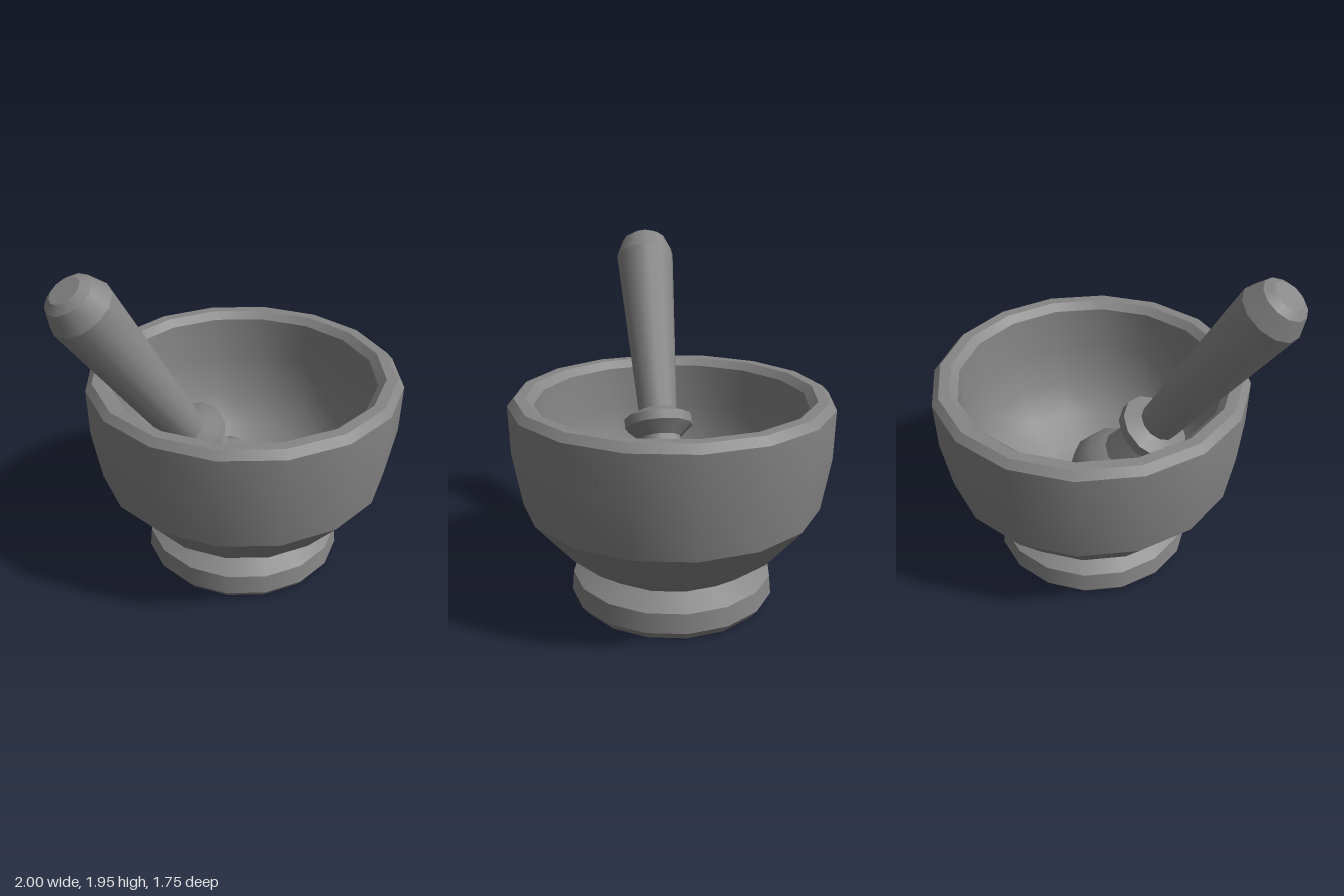
import * as THREE from 'three';
import { mergeGeometries } from 'three/addons/utils/BufferGeometryUtils.js';

const material = new THREE.MeshStandardMaterial({ color: 0x868686 });

// Turned solid from runs of [radius, height] pairs, outside bottom upwards:
// smooth within a run, with a sharp edge where one run meets the next
function turned(name, sides, runs) {
  const geometries = runs.map((run) =>
    new THREE.LatheGeometry(run.map(([r, y]) => new THREE.Vector2(r, y)), sides));
  const mesh = new THREE.Mesh(mergeGeometries(geometries), material);
  mesh.name = name;
  return mesh;
}

export function createModel() {
  const model = new THREE.Group();
  model.name = 'mortarAndPestle';

  // Mortar: foot, flared bowl, bevelled rim and hollow inside
  const mortar = turned('mortar', 16, [
    [[0, 0], [0.53, 0]],
    [[0.53, 0], [0.57, 0.05]],
    [[0.57, 0.05], [0.56, 0.16]],
    [[0.56, 0.16], [0.45, 0.23]],
    [[0.45, 0.23], [0.61, 0.34], [0.82, 0.59]],
    [[0.82, 0.59], [0.87, 0.88], [0.877, 1.15]],
    [[0.877, 1.15], [0.84, 1.19]],
    [[0.84, 1.19], [0.78, 1.19]],
    [[0.78, 1.19], [0.738, 1.15]],
    [[0.738, 1.15], [0.73, 0.9], [0.69, 0.66], [0.58, 0.48],
      [0.42, 0.36], [0.22, 0.285], [0, 0.26]],
  ]);
  mortar.position.x = 0.123;
  model.add(mortar);

  // Pestle: origin at the widest part of the grip, leaning towards -x
  const pestle = new THREE.Group();
  pestle.name = 'pestle';
  pestle.position.set(-0.835, 1.795, 0.022);
  pestle.rotation.z = 0.58;

  // Grinding head with a slightly flared neck
  pestle.add(turned('pestleHead', 12, [
    [[0, -1.8], [0.1, -1.78], [0.18, -1.73], [0.225, -1.64],
      [0.245, -1.54], [0.215, -1.42], [0.15, -1.34]],
    [[0.15, -1.34], [0.12, -1.15]],
  ]));

  // Collar
  pestle.add(turned('pestleCollar', 12, [
    [[0.12, -1.17], [0.2, -1.1]],
    [[0.2, -1.1], [0.2, -1.045]],
    [[0.2, -1.045], [0.11, -1.0]],
  ]));

  // Tapered handle with a bevelled end
  pestle.add(turned('pestleHandle', 12, [
    [[0.112, -1.02], [0.173, 0]],
    [[0.173, 0], [0.13, 0.104]],
    [[0.13, 0.104], [0.085, 0.133]],
    [[0.085, 0.133], [0, 0.133]],
  ]));

  model.add(pestle);
  return model;
}
